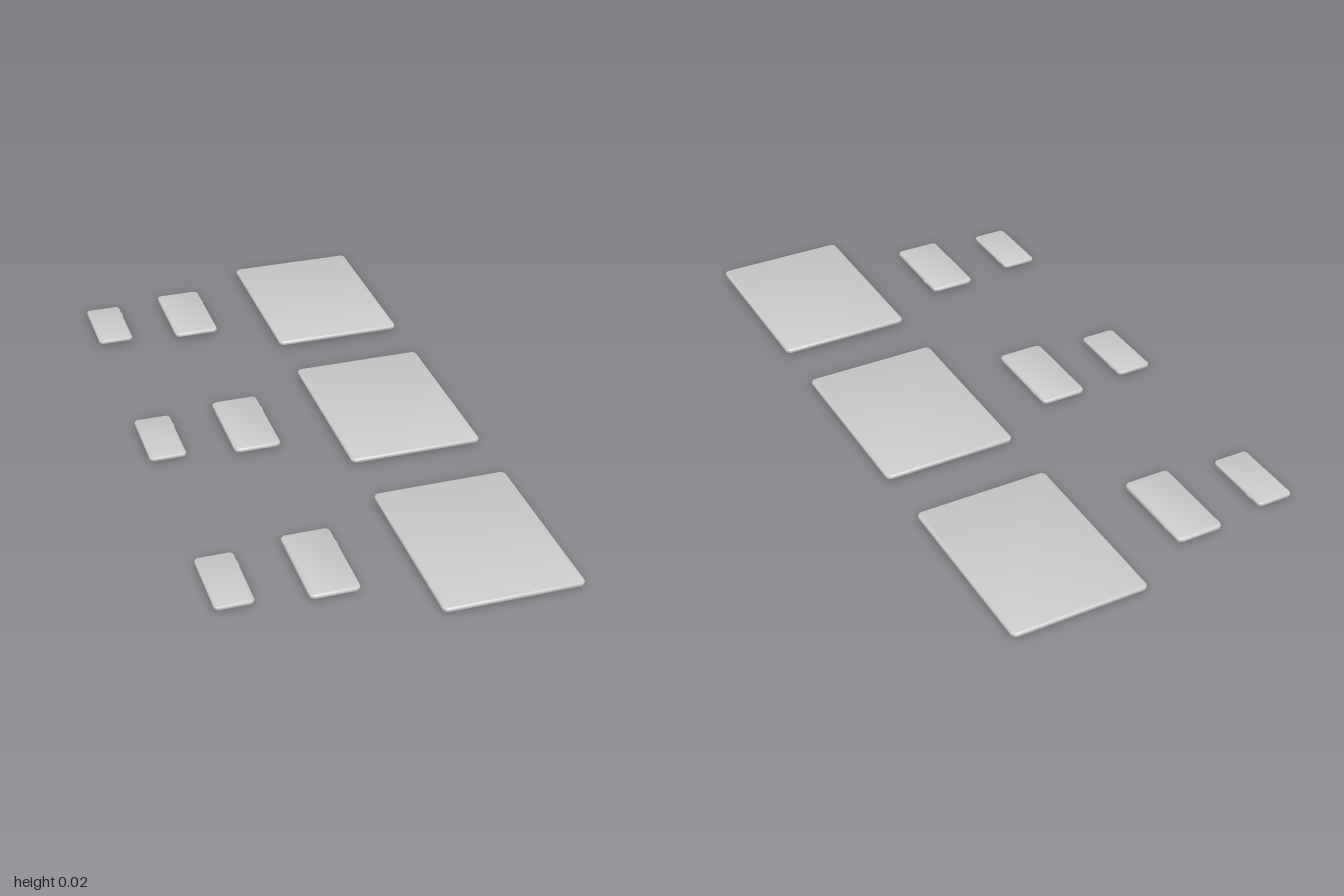
import * as THREE from 'three';
import { toCreasedNormals } from 'three/addons/utils/BufferGeometryUtils.js';

// Flat slab lying in xz with rounded corners and rounded edges; base at y = 0
function slab(w, l, h, corner, edge, edgeY) {
  const a = w / 2 - edge, b = l / 2 - edge, r = Math.max(corner - edge, 0.001);
  const s = new THREE.Shape();
  s.absarc(a - r, b - r, r, 0, Math.PI / 2);
  s.absarc(-a + r, b - r, r, Math.PI / 2, Math.PI);
  s.absarc(-a + r, -b + r, r, Math.PI, Math.PI * 1.5);
  s.absarc(a - r, -b + r, r, Math.PI * 1.5, Math.PI * 2);
  const g = new THREE.ExtrudeGeometry(s, {
    depth: h - 2 * edgeY, bevelEnabled: true, bevelSize: edge,
    bevelThickness: edgeY, bevelSegments: 5, curveSegments: 6
  });
  g.translate(0, 0, edgeY);
  g.rotateX(-Math.PI / 2);
  return toCreasedNormals(g, 0.6);
}

const material = new THREE.MeshStandardMaterial({ color: 0xcccccc });

function part(name, geometry, x, y, z) {
  const m = new THREE.Mesh(geometry, material);
  m.name = name;
  m.position.set(x, y, z);
  return m;
}

const BASE = 0.004; // the bodies rest on their camera bumps

// x, z: centre; w, l, h: body size; cam: x, z and size of the camera bump
const devices = [
  { name: 'smallPhone', x: -0.421, z: -0.018, w: 0.11, l: 0.224, h: 0.014, corner: 0.014,
    cam: [0.026, -0.082, 0.038], button: -0.062 },
  { name: 'largePhone', x: -0.159, z: -0.018, w: 0.14, l: 0.28, h: 0.016, corner: 0.016,
    cam: [0.034, -0.104, 0.048], button: -0.072 },
  { name: 'tablet', x: 0.2765, z: 0, w: 0.397, l: 0.548, h: 0.016, corner: 0.017,
    cam: [0.158, -0.234, 0.05] }
];

export function createModel() {
  const model = new THREE.Group();
  model.name = 'deviceSet';

  for (const d of devices) {
    const body = slab(d.w, d.l, d.h, d.corner, 0.007, d.h * 0.45);
    const [cx, cz, cs] = d.cam;
    const bump = slab(cs, cs, BASE + 0.002, cs * 0.25, 0.001, 0.001);
    const button = new THREE.BoxGeometry(0.004, 0.004, 0.02);

    // Three rows of each device
    for (const row of [-1, 0, 1]) {
      const device = new THREE.Group();
      device.name = d.name;
      device.position.set(d.x, 0, d.z + row * 0.726);
      device.add(part('body', body, 0, BASE, 0));
      device.add(part('cameraBump', bump, cx, 0, cz));
      if (d.button) {
        device.add(part('sideButton', button, d.w / 2 - 0.0005, BASE + d.h / 2, d.button));
      }
      model.add(device);
    }
  }
  return model;
}
